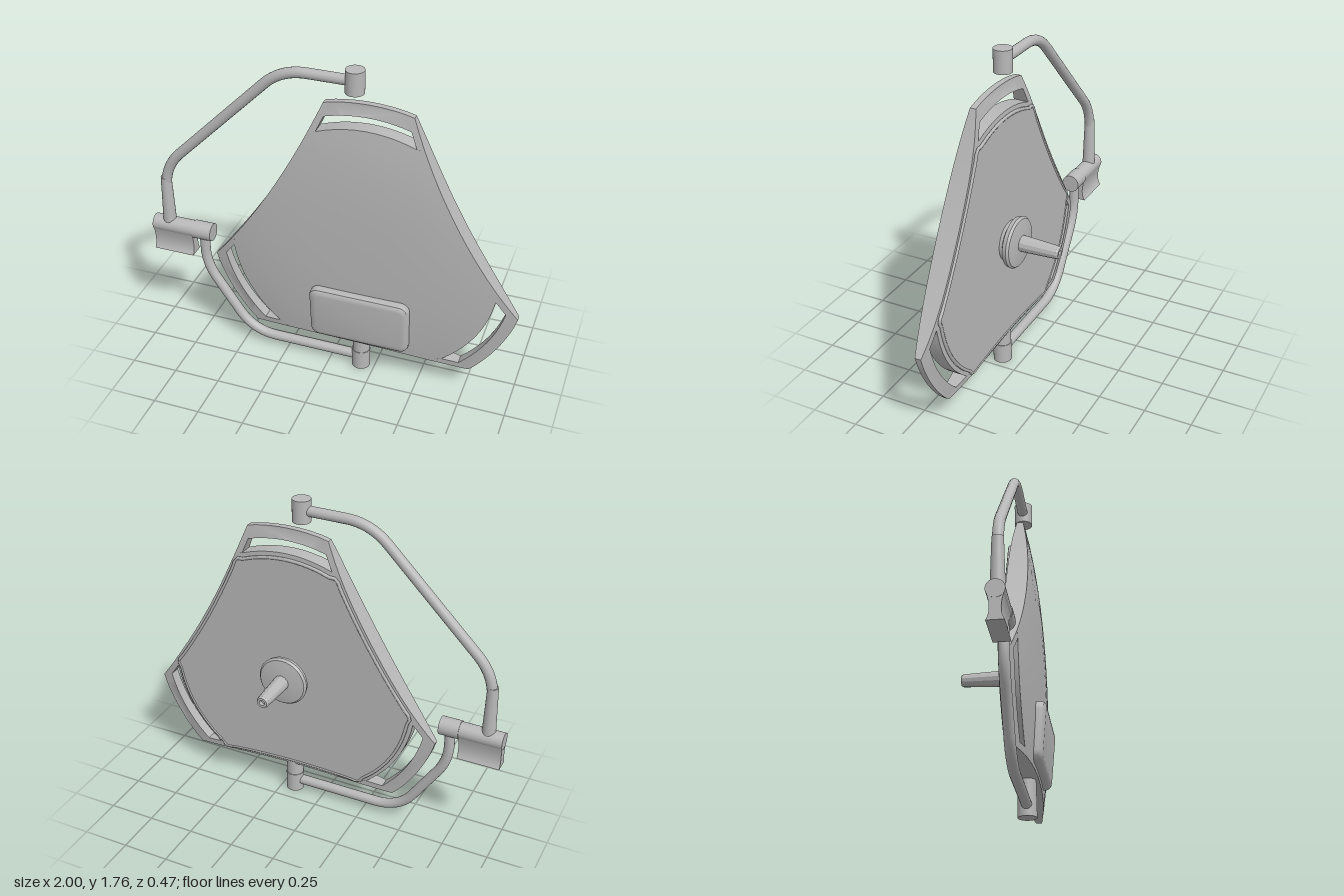
import * as THREE from 'three';
import { toCreasedNormals } from 'three/addons/utils/BufferGeometryUtils.js';

const V2 = (x, y) => new THREE.Vector2(x, y);
const V3 = (x, y, z) => new THREE.Vector3(x, y, z);
const ARM_Z = 0.107;

export function createModel() {
  const grey = new THREE.MeshStandardMaterial({ color: 0xb8b8b8 });
  grey.name = 'grey';
  const model = new THREE.Group();

  const add = (name, geometry, parent = model) => {
    const mesh = new THREE.Mesh(geometry, grey);
    mesh.name = name;
    parent.add(mesh);
    return mesh;
  };

  // Lens-like thickness of the lamp head: front and back depth by distance from its centre
  const frontZ = (r) => 0.187 - 0.066 * Math.pow(r / 0.85, 3);
  const backZ = (r) => 0.06 + 0.03 * Math.pow(Math.max(0, r - 0.58) / 0.27, 2);

  // One third of the outline: a slot edge, then a concave side
  const side = new THREE.QuadraticBezierCurve(V2(0.24, 0.815), V2(0.455, 0.255), V2(0.815, -0.225));
  const sidePoints = (t0, t1, n) =>
    Array.from({ length: n + 1 }, (_, i) => side.getPoint(t0 + ((t1 - t0) * i) / n));
  const turn = (p, k) => p.clone().rotateAround(V2(0, 0), (-k * 2 * Math.PI) / 3);
  const arc = (a, apex, b, n = 10) =>
    new THREE.QuadraticBezierCurve(a, V2((a.x + b.x) / 2, 2 * apex - (a.y + b.y) / 2), b).getPoints(n);

  const slotEdge = arc(V2(-0.245, 0.668), 0.715, V2(0.265, 0.665));
  const third = [...slotEdge, ...sidePoints(0.14, 0.86, 14)];
  const outline = [0, 1, 2].flatMap((k) => third.map((p) => turn(p, k)));

  // Skin over concentric copies of the outline; each ring is [scale, depth rule]
  const ringSolid = (rings) => {
    const n = outline.length, pos = [], index = [];
    rings.forEach(([s, depth]) => outline.forEach((p) => pos.push(p.x * s, p.y * s, depth(p.length() * s))));
    for (let i = 0; i < rings.length - 1; i++) {
      for (let j = 0; j < n; j++) {
        const a = i * n + j, b = i * n + ((j + 1) % n);
        index.push(a, b, b + n, a, b + n, a + n);
      }
    }
    const g = new THREE.BufferGeometry();
    g.setAttribute('position', new THREE.Float32BufferAttribute(pos, 3));
    g.setIndex(index);
    return toCreasedNormals(g, 0.6);
  };

  // Lamp head
  const head = new THREE.Group();
  head.name = 'lampHead';
  head.position.set(0.183, 0.755, 0);
  model.add(head);

  add('headShell', ringSolid([
    ...[0.001, 0.2, 0.4, 0.6, 0.8, 0.92, 1].map((s) => [s, frontZ]),
    ...[1, 0.9, 0.7, 0.001].map((s) => [s, backZ]),
  ]), head);

  // Raised back panel with its rim
  add('backPanel', ringSolid([[0.95, () => 0.075], [0.95, () => 0.053], [0.001, () => 0.053]]), head);
  const rim = new THREE.CatmullRomCurve3(outline.map((p) => V3(p.x * 0.96, p.y * 0.96, 0.058)), true);
  add('backRim', new THREE.TubeGeometry(rim, 150, 0.009, 6, true), head);

  // Grip at each corner: a bent frame around an open slot
  const gripShape = new THREE.Shape([
    ...sidePoints(0.84, 1, 5).map((p) => turn(p, -1)),
    ...arc(V2(-0.205, 0.822), 0.845, V2(0.235, 0.818)).slice(1, -1),
    ...sidePoints(0, 0.16, 5),
    V2(0.268, 0.655),
    ...arc(V2(-0.205, 0.752), 0.782, V2(0.23, 0.748)).reverse(),
    V2(-0.248, 0.658),
  ]);
  const gripGeometry = new THREE.ExtrudeGeometry(gripShape, { depth: 1, bevelEnabled: false });
  const gp = gripGeometry.attributes.position;
  for (let i = 0; i < gp.count; i++) {
    const r = Math.hypot(gp.getX(i), gp.getY(i));
    gp.setZ(i, gp.getZ(i) > 0.5 ? frontZ(r) : backZ(r));
  }
  const gripSmooth = toCreasedNormals(gripGeometry, 0.6);
  for (let k = 0; k < 3; k++) {
    add('grip' + (k + 1), gripSmooth, head).rotation.z = (-k * 2 * Math.PI) / 3;
  }

  // Control box on the front, leaning forward at the top
  const w = 0.235, h = 0.125, c = 0.02;
  const boxShape = new THREE.Shape();
  boxShape.moveTo(-w + c, -h);
  boxShape.lineTo(w - c, -h);
  boxShape.quadraticCurveTo(w, -h, w, -h + c);
  boxShape.lineTo(w, h - c);
  boxShape.quadraticCurveTo(w, h, w - c, h);
  boxShape.lineTo(-w + c, h);
  boxShape.quadraticCurveTo(-w, h, -w, h - c);
  boxShape.lineTo(-w, -h + c);
  boxShape.quadraticCurveTo(-w, -h, -w + c, -h);
  const boxGeometry = new THREE.ExtrudeGeometry(boxShape, {
    depth: 0.04, bevelThickness: 0.025, bevelSize: 0.033, bevelSegments: 3, curveSegments: 5,
  });
  const bp = boxGeometry.attributes.position;
  for (let i = 0; i < bp.count; i++) bp.setZ(i, bp.getZ(i) + bp.getY(i) * 0.09);
  add('controlBox', toCreasedNormals(boxGeometry, 0.6)).position.set(0.187, 0.372, 0.156);

  // Hub and handle on the back
  const hubProfile = [[0, 0.06], [0.105, 0.06], [0.108, 0.035], [0.133, 0.022], [0.138, 0], [0.128, -0.012], [0.06, -0.022], [0, -0.022]];
  const hub = new THREE.LatheGeometry(hubProfile.map(([r, z]) => V2(r, -z)), 32);
  add('hub', toCreasedNormals(hub.rotateX(-Math.PI / 2), 0.5)).position.set(0.187, 0.76, 0);
  const stemProfile = [[0.043, 0.01], [0.042, 0.05], [0.034, 0.225], [0.028, 0.235], [0.015, 0.235], [0.015, 0.215], [0, 0.215]];
  const stem = new THREE.LatheGeometry(stemProfile.map(([r, z]) => V2(r, z)), 12);
  add('handle', toCreasedNormals(stem.rotateX(-Math.PI / 2), 0.4)).position.set(0.187, 0.76, 0);

  // Upright or sideways cylinder between two ends
  const cylinder = (name, r, from, to, rTop = r) => {
    const mesh = add(name, new THREE.CylinderGeometry(rTop, r, from.distanceTo(to), 28));
    mesh.position.copy(from).lerp(to, 0.5);
    mesh.quaternion.setFromUnitVectors(V3(0, 1, 0), to.clone().sub(from).normalize());
  };
  cylinder('lowerPivot', 0.049, V3(0.175, 0, ARM_Z), V3(0.175, 0.11, ARM_Z));
  cylinder('headPivot', 0.046, V3(0.175, 0.11, ARM_Z), V3(0.175, 0.22, ARM_Z));
  cylinder('ceilingPivot', 0.048, V3(0.125, 1.645, ARM_Z), V3(0.125, 1.765, ARM_Z));
  cylinder('elbowBarrel', 0.045, V3(-1, 0.672, ARM_Z), V3(-0.77, 0.672, ARM_Z));
  cylinder('elbowPivot', 0.049, V3(-0.77, 0.672, ARM_Z), V3(-0.663, 0.672, ARM_Z));
  cylinder('armSocket', 0.036, V3(-0.915, 0.69, ARM_Z), V3(-0.915, 0.97, ARM_Z), 0.028);

  // Arms: tubes with rounded bends
  const arm = (name, points, bend) => {
    const p = points.map(([x, y]) => V3(x, y, ARM_Z));
    const path = new THREE.CurvePath();
    let start = p[0];
    for (let i = 1; i < p.length - 1; i++) {
      const before = p[i].clone().add(p[i - 1].clone().sub(p[i]).setLength(bend[i - 1]));
      const after = p[i].clone().add(p[i + 1].clone().sub(p[i]).setLength(bend[i - 1]));
      path.add(new THREE.LineCurve3(start, before));
      path.add(new THREE.QuadraticBezierCurve3(before, p[i], after));
      start = after;
    }
    path.add(new THREE.LineCurve3(start, p[p.length - 1]));
    add(name, new THREE.TubeGeometry(path, 80, 0.027, 16));
  };
  arm('lowerArm', [[0.17, 0.06], [-0.455, 0.062], [-0.715, 0.46], [-0.715, 0.66]], [0.14, 0.1]);
  arm('upperArm', [[-0.915, 0.7], [-0.915, 1.035], [-0.245, 1.705], [0.12, 1.705]], [0.13, 0.13]);

  // Flared flap hanging below the elbow
  const flapShape = new THREE.Shape();
  flapShape.moveTo(-0.045, 0.15);
  flapShape.quadraticCurveTo(-0.01, 0.05, -0.042, 0);
  flapShape.lineTo(0.042, 0);
  flapShape.quadraticCurveTo(0.01, 0.05, 0.045, 0.15);
  flapShape.closePath();
  const flap = new THREE.ExtrudeGeometry(flapShape, { depth: 0.226, bevelEnabled: false, curveSegments: 10 });
  const flapMesh = add('elbowFlap', toCreasedNormals(flap, 0.5));
  flapMesh.rotation.y = Math.PI / 2;
  flapMesh.position.set(-0.998, 0.522, ARM_Z);

  return model;
}
